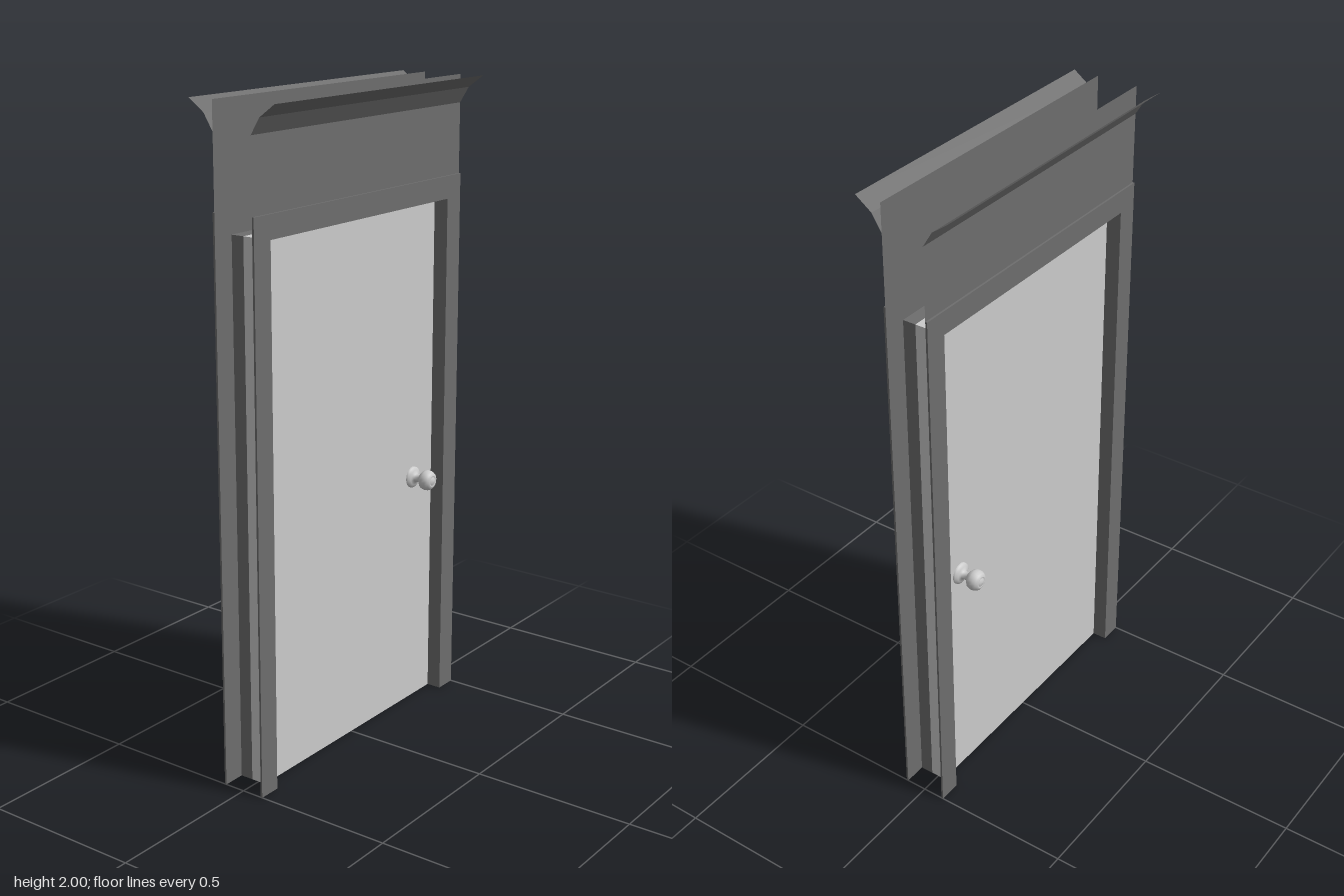
import * as THREE from 'three';

const doorMat = new THREE.MeshStandardMaterial({ color: 0xcccccc, side: THREE.DoubleSide });
const frameMat = new THREE.MeshStandardMaterial({ color: 0x6e6e6e, side: THREE.DoubleSide });

const W = 0.5, OPEN = 0.43, DOOR_H = 1.63, TRIM_H = 1.7, TOP = 2;
const DOOR_Z = 0.024, PANEL_Z = 0.065, TRIM_Z = 0.071;

function add(parent, name, geometry, material) {
  const mesh = new THREE.Mesh(geometry, material);
  mesh.name = name;
  parent.add(mesh);
  return mesh;
}

// Sheet swept along x from a (z, y) profile, with flat facets
function strip(profile, halfWidth) {
  const pos = [];
  for (let i = 0; i < profile.length - 1; i++) {
    const [z0, y0] = profile[i], [z1, y1] = profile[i + 1], w = halfWidth;
    pos.push(-w, y0, z0, w, y0, z0, w, y1, z1, -w, y0, z0, w, y1, z1, -w, y1, z1);
  }
  const g = new THREE.BufferGeometry();
  g.setAttribute('position', new THREE.Float32BufferAttribute(pos, 3));
  g.computeVertexNormals();
  return g;
}

// U-shaped casing around the opening
function casing() {
  const s = new THREE.Shape();
  [[-W, 0], [-W, TRIM_H], [W, TRIM_H], [W, 0], [OPEN, 0], [OPEN, DOOR_H], [-OPEN, DOOR_H], [-OPEN, 0]]
    .forEach(([x, y], i) => (i ? s.lineTo(x, y) : s.moveTo(x, y)));
  return new THREE.ExtrudeGeometry(s, { depth: TRIM_Z - PANEL_Z, bevelEnabled: false }).translate(0, 0, PANEL_Z);
}

// Rosette, neck and rounded grip with a small centre button
function knob() {
  const pts = [
    [0.034, 0], [0.033, 0.006], [0.024, 0.011], [0.013, 0.015], [0.012, 0.03],
    [0.02, 0.036], [0.029, 0.044], [0.032, 0.054], [0.031, 0.065], [0.026, 0.074],
    [0.018, 0.079], [0.016, 0.077], [0.012, 0.077], [0.01, 0.08], [0, 0.081],
  ].map(([r, h]) => new THREE.Vector2(r, h));
  return new THREE.LatheGeometry(pts, 24).rotateX(Math.PI / 2).translate(0, 0, DOOR_Z);
}

// One face of the doorway, built facing +z
function buildSide(name, mirror) {
  const side = new THREE.Group();
  side.name = name;
  add(side, 'casing', casing(), frameMat);
  add(side, 'headPanel', strip([[PANEL_Z, TRIM_H], [PANEL_Z, TOP]], W), frameMat);
  add(side, 'cornice', strip([[PANEL_Z, 1.915], [0.095, 1.963], [0.146, TOP]], W), frameMat);

  // Reveals between the door leaf and the casing
  add(side, 'headReveal', strip([[DOOR_Z, DOOR_H], [PANEL_Z, DOOR_H]], OPEN), frameMat);
  for (const s of [-1, 1]) {
    const depth = PANEL_Z - DOOR_Z;
    const g = new THREE.PlaneGeometry(depth, DOOR_H).rotateY(-s * Math.PI / 2);
    g.translate(s * OPEN, DOOR_H / 2, DOOR_Z + depth / 2);
    add(side, s > 0 ? 'leftReveal' : 'rightReveal', g, frameMat);
  }

  // The turned copy swaps x, so its knob moves to the other hand
  add(side, 'knob', knob(), doorMat).position.set(mirror * 0.325, 0.755, 0);
  if (mirror < 0) side.rotation.y = Math.PI;
  return side;
}

export function createModel() {
  const model = new THREE.Group();
  model.name = 'door';
  const leaf = new THREE.BoxGeometry(2 * OPEN, DOOR_H, 2 * DOOR_Z).translate(0, DOOR_H / 2, 0);
  add(model, 'doorLeaf', leaf, doorMat);
  model.add(buildSide('frontFrame', 1), buildSide('backFrame', -1));
  return model;
}
